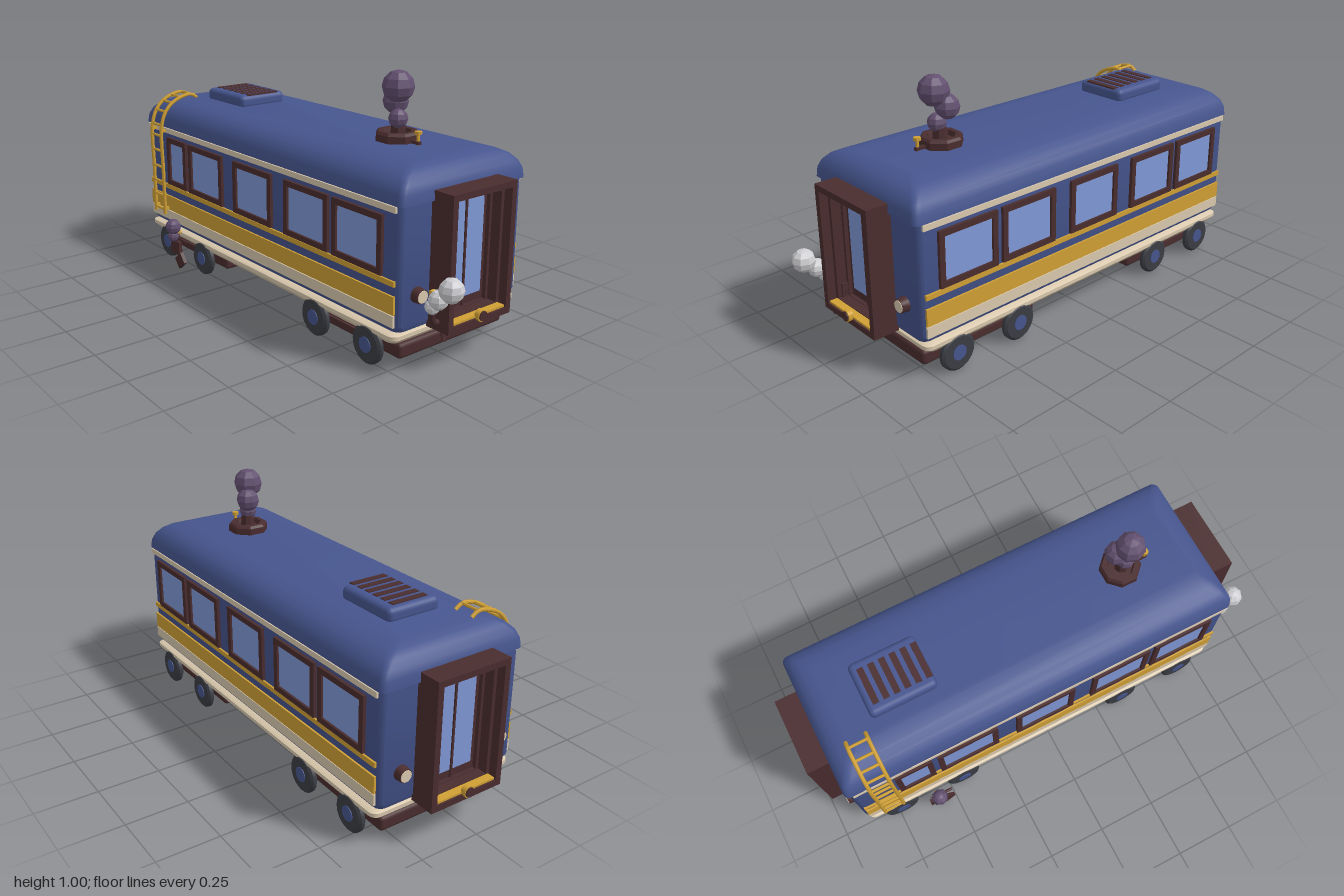
import * as THREE from 'three';
import { toCreasedNormals } from 'three/addons/utils/BufferGeometryUtils.js';
import { RoundedBoxGeometry } from 'three/addons/geometries/RoundedBoxGeometry.js';

const mat = (name, color) => {
  const m = new THREE.MeshStandardMaterial({ color });
  m.name = name;
  return m;
};
const CX = -0.037, CZ = -0.045; // centre of the carriage

// Closed solid from rounded-rectangle rings: each ring is [y, insetX, insetZ]
function loft(halfX, halfZ, radius, rings) {
  const pos = [], idx = [], steps = 4, n = 4 * (steps + 1);
  for (const [y, ix, iz] of rings) {
    for (let q = 0; q < 4; q++) {
      const sx = q === 0 || q === 3 ? 1 : -1, sz = q < 2 ? 1 : -1;
      for (let s = 0; s <= steps; s++) {
        const a = (q + s / steps) * Math.PI / 2;
        pos.push(sx * (halfX - ix - radius) + radius * Math.cos(a), y,
          sz * (halfZ - iz - radius) + radius * Math.sin(a));
      }
    }
  }
  const last = (rings.length - 1) * n;
  for (let r = 0; r < rings.length - 1; r++) {
    for (let j = 0; j < n; j++) {
      const a = r * n + j, b = r * n + (j + 1) % n;
      idx.push(a, a + n, b, b, a + n, b + n);
    }
  }
  for (let j = 1; j < n - 1; j++) {
    idx.push(0, j, j + 1, last, last + j + 1, last + j);
  }
  const g = new THREE.BufferGeometry();
  g.setAttribute('position', new THREE.Float32BufferAttribute(pos, 3));
  g.setIndex(idx);
  return toCreasedNormals(g, 0.6);
}

// Rectangular frame in the xy plane, extruded along +z
function frameGeometry(w, h, border, depth) {
  const rect = (T, a, b) => {
    const p = new T();
    p.moveTo(-a, -b); p.lineTo(a, -b); p.lineTo(a, b); p.lineTo(-a, b); p.closePath();
    return p;
  };
  const s = rect(THREE.Shape, w / 2, h / 2);
  s.holes.push(rect(THREE.Path, w / 2 - border, h / 2 - border));
  return new THREE.ExtrudeGeometry(s, { depth, bevelEnabled: false });
}

const cyl = (r0, r1, h, sides = 16) => toCreasedNormals(new THREE.CylinderGeometry(r0, r1, h, sides), 0.6);
const tube = (pts, r, seg = 16) => new THREE.TubeGeometry(
  new THREE.CatmullRomCurve3(pts.map((p) => new THREE.Vector3(...p))), seg, r, 6);

export function createModel() {
  const blue = mat('blue paint', 0x46558e), brown = mat('dark brown', 0x4a2d2f);
  const glass = mat('window glass', 0x7f98d6), gold = mat('gold', 0xd0a035);
  const cream = mat('cream', 0xdac9ae), rubber = mat('tyre grey', 0x3a3d44);
  const purple = mat('purple smoke', 0x635070), white = mat('white steam', 0xcfcfd3);

  const model = new THREE.Group();
  model.name = 'railCarriage';
  const add = (name, geo, m, x = 0, y = 0, z = 0, parent = model) => {
    const mesh = new THREE.Mesh(geo, m);
    mesh.name = name;
    mesh.position.set(x, y, z);
    parent.add(mesh);
    return mesh;
  };
  const box = (name, m, w, h, d, x, y, z, parent) =>
    add(name, new THREE.BoxGeometry(w, h, d), m, x, y, z, parent);
  const puff = (name, m, r, x, y, z) =>
    add(name, toCreasedNormals(new THREE.SphereGeometry(r, 8, 6), 0.1), m, x, y, z);

  // Body, roof and chassis
  add('body', loft(0.845, 0.308, 0.03,
    [[0.155, 0.03, 0.03], [0.163, 0.01, 0.01], [0.185, 0, 0], [0.63, 0, 0]]), blue, CX, 0, CZ);
  add('roof', loft(0.857, 0.313, 0.025, [[0.62, 0, 0], [0.655, 0.003, 0.005], [0.685, 0.014, 0.02],
    [0.71, 0.035, 0.045], [0.727, 0.06, 0.08], [0.738, 0.1, 0.135]]), blue, CX, 0, CZ);
  add('chassis', loft(0.835, 0.318, 0.03,
    [[0.09, 0.06, 0.055], [0.115, 0.02, 0.018], [0.135, 0, 0], [0.15, 0, 0], [0.157, 0.012, 0.012]]),
    cream, CX, 0, CZ);

  // Bogies and wheels
  for (const x of [-0.58, 0.51]) {
    add('bogie', new RoundedBoxGeometry(0.54, 0.06, 0.535, 2, 0.015), brown, x, 0.075, CZ);
    for (const dx of [-0.148, 0.148]) for (const s of [1, -1]) {
      const wheel = new THREE.Group();
      wheel.name = 'wheel';
      wheel.position.set(x + dx, 0.077, CZ + s * 0.306);
      wheel.rotation.x = s * Math.PI / 2;
      model.add(wheel);
      const profile = [[0, -0.015], [0.065, -0.015], [0.075, -0.007], [0.075, 0.007], [0.065, 0.015], [0, 0.015]];
      add('tyre', toCreasedNormals(new THREE.LatheGeometry(
        profile.map((p) => new THREE.Vector2(...p)), 20), 0.6), rubber, 0, 0, 0, wheel);
      add('hub', cyl(0.03, 0.03, 0.008), blue, 0, 0.014, 0, wheel);
    }
    const axleBar = box('axleBar', brown, 0.24, 0.03, 0.56, x, 0.077, CZ);
    axleBar.scale.y = 0.8;
  }

  // Stripes and windows on both long sides
  for (const s of [1, -1]) {
    const stripes = [['eaveTrim', cream, 0.607, 0.022], ['thinStripe', gold, 0.345, 0.02],
      ['wideStripe', gold, 0.266, 0.068], ['lowerStripe', cream, 0.207, 0.044]];
    for (const [name, m, y, h] of stripes) box(name, m, 1.655, h, 0.009, CX, y, CZ + s * 0.311);
    const windows = [[s > 0 ? -0.62 : -0.672, s > 0 ? 0.16 : 0.263],
      [-0.385, 0.263], [-0.037, 0.263], [0.31, 0.263], [0.598, 0.263]];
    for (const [x, w] of windows) {
      const win = new THREE.Group();
      win.name = 'window';
      win.position.set(x, 0.469, CZ + s * 0.306);
      if (s < 0) win.rotation.y = Math.PI;
      model.add(win);
      add('windowFrame', frameGeometry(w, 0.218, 0.023, 0.015), brown, 0, 0, 0, win);
      box('windowPane', glass, w - 0.04, 0.178, 0.008, 0, 0, 0.002, win);
    }
  }

  // End porches with double doors, coupling and lamps
  for (const turn of [0, Math.PI]) {
    const end = new THREE.Group();
    end.name = 'endPorch';
    end.position.set(CX, 0, CZ + 0.003);
    end.rotation.y = turn;
    model.add(end);
    const frame = (name, w, h, border, depth, x, y) => {
      add(name, frameGeometry(w, h, border, depth), brown, x, y, 0, end).rotation.y = Math.PI / 2;
    };
    frame('porch', 0.32, 0.5, 0.024, 0.105, 0.838, 0.406);
    frame('porchInnerFrame', 0.275, 0.455, 0.016, 0.07, 0.838, 0.406);
    frame('doorFrame', 0.242, 0.43, 0.012, 0.03, 0.838, 0.4);
    box('doorPanel', brown, 0.012, 0.43, 0.24, 0.846, 0.4, 0, end);
    for (const z of [-0.049, 0.049]) box('doorGlass', glass, 0.008, 0.36, 0.086, 0.852, 0.41, z, end);
    box('doorPost', brown, 0.012, 0.41, 0.008, 0.854, 0.4, 0, end);
    box('porchFloor', gold, 0.1, 0.008, 0.262, 0.89, 0.188, 0, end);
    const coupling = new THREE.Group();
    coupling.name = 'coupling';
    coupling.position.set(0.945, 0.19, 0);
    coupling.rotation.z = -Math.PI / 2;
    end.add(coupling);
    add('couplingRim', cyl(0.023, 0.023, 0.02), gold, 0, 0, 0, coupling);
    add('couplingCap', cyl(0.019, 0.019, 0.016), brown, 0, 0.007, 0, coupling);
    for (const z of [-0.22, 0.22]) {
      add('lampRim', cyl(0.026, 0.03, 0.035), brown, 0.857, 0.293, z, end).rotation.z = -Math.PI / 2;
      add('lampLens', cyl(0.023, 0.023, 0.006), cream, 0.874, 0.293, z, end).rotation.z = -Math.PI / 2;
    }
  }

  // Ladder that bends over the roof edge
  const side = [[0.215, 0.288], [0.42, 0.289], [0.62, 0.289], [0.685, 0.268], [0.725, 0.232],
    [0.748, 0.185], [0.757, 0.13], [0.738, 0.1]];
  for (const x of [-0.798, -0.716]) {
    add('ladderRail', tube(side.map(([y, z]) => [x, y, z]), 0.008, 28), gold);
    for (const y of [0.24, 0.605]) box('ladderBracket', gold, 0.012, 0.012, 0.035, x, y, 0.274);
  }
  const rungs = [[0.235, 0.288], [0.3, 0.289], [0.365, 0.289], [0.435, 0.289], [0.51, 0.289],
    [0.58, 0.289], [0.63, 0.287], [0.69, 0.265], [0.727, 0.229], [0.748, 0.185], [0.757, 0.13]];
  for (const [y, z] of rungs) add('ladderRung', cyl(0.006, 0.006, 0.085, 6), gold, -0.757, y, z).rotation.z = Math.PI / 2;

  // Roof vent with slats
  add('roofVent', new RoundedBoxGeometry(0.28, 0.06, 0.23, 3, 0.022), blue, -0.533, 0.755, -0.047);
  for (let i = 0; i < 6; i++) box('ventSlat', brown, 0.026, 0.006, 0.155, -0.632 + i * 0.0445, 0.785, -0.047);

  // Chimney dish, valve and smoke
  const dish = [[0, 0.73], [0.084, 0.73], [0.084, 0.765], [0.076, 0.775], [0.056, 0.775], [0.05, 0.755], [0, 0.755]];
  add('chimneyDish', toCreasedNormals(new THREE.LatheGeometry(
    dish.map((p) => new THREE.Vector2(...p)), 8, Math.PI / 8), 0.2), brown, 0.46, 0, CZ);
  add('chimneyPipe', cyl(0.025, 0.03, 0.06, 8), brown, 0.465, 0.775, CZ);
  add('valveStem', cyl(0.006, 0.006, 0.06, 8), gold, 0.57, 0.76, CZ);
  add('valveCap', cyl(0.014, 0.014, 0.012, 8), gold, 0.57, 0.784, CZ);
  box('valveArm', brown, 0.06, 0.012, 0.014, 0.55, 0.746, CZ);
  puff('smokePuff', purple, 0.037, 0.472, 0.822, -0.037);
  puff('smokePuff', purple, 0.049, 0.437, 0.88, -0.056);
  puff('smokePuff', purple, 0.061, 0.476, 0.943, -0.03);

  // Steam pipe beside the end porch
  add('steamPipe', tube([[0.82, 0.25, 0.08], [0.85, 0.2, 0.085], [0.855, 0.193, 0.135], [0.865, 0.25, 0.165]], 0.011), brown);
  add('drainPipe', tube([[0.855, 0.2, 0.085], [0.86, 0.165, 0.097], [0.875, 0.12, 0.107]], 0.008), brown);
  box('valveBlock', brown, 0.03, 0.06, 0.022, 0.84, 0.22, 0.083);
  add('steamValve', cyl(0.009, 0.009, 0.02, 8), gold, 0.835, 0.298, 0.128).rotation.x = Math.PI / 2;
  puff('steamPuff', white, 0.028, 0.87, 0.265, 0.163);
  puff('steamPuff', white, 0.036, 0.9, 0.3, 0.166);
  puff('steamPuff', white, 0.045, 0.953, 0.35, 0.162);

  // Exhaust beside the wheels
  box('exhaustBox', brown, 0.07, 0.06, 0.016, -0.58, 0.096, 0.314);
  box('exhaustFoot', brown, 0.06, 0.052, 0.016, -0.543, 0.043, 0.315).rotation.z = 0.7;
  add('exhaustPipe', cyl(0.011, 0.011, 0.07, 8), brown, -0.58, 0.13, 0.31);
  add('exhaustArm', cyl(0.006, 0.006, 0.1, 8), brown, -0.557, 0.14, 0.31).rotation.z = Math.PI / 2;
  add('exhaustValve', cyl(0.008, 0.008, 0.02, 8), gold, -0.575, 0.166, 0.303).rotation.x = Math.PI / 2;
  puff('exhaustPuff', purple, 0.026, -0.58, 0.152, 0.328);
  puff('exhaustPuff', purple, 0.035, -0.57, 0.2, 0.333);

  return model;
}
